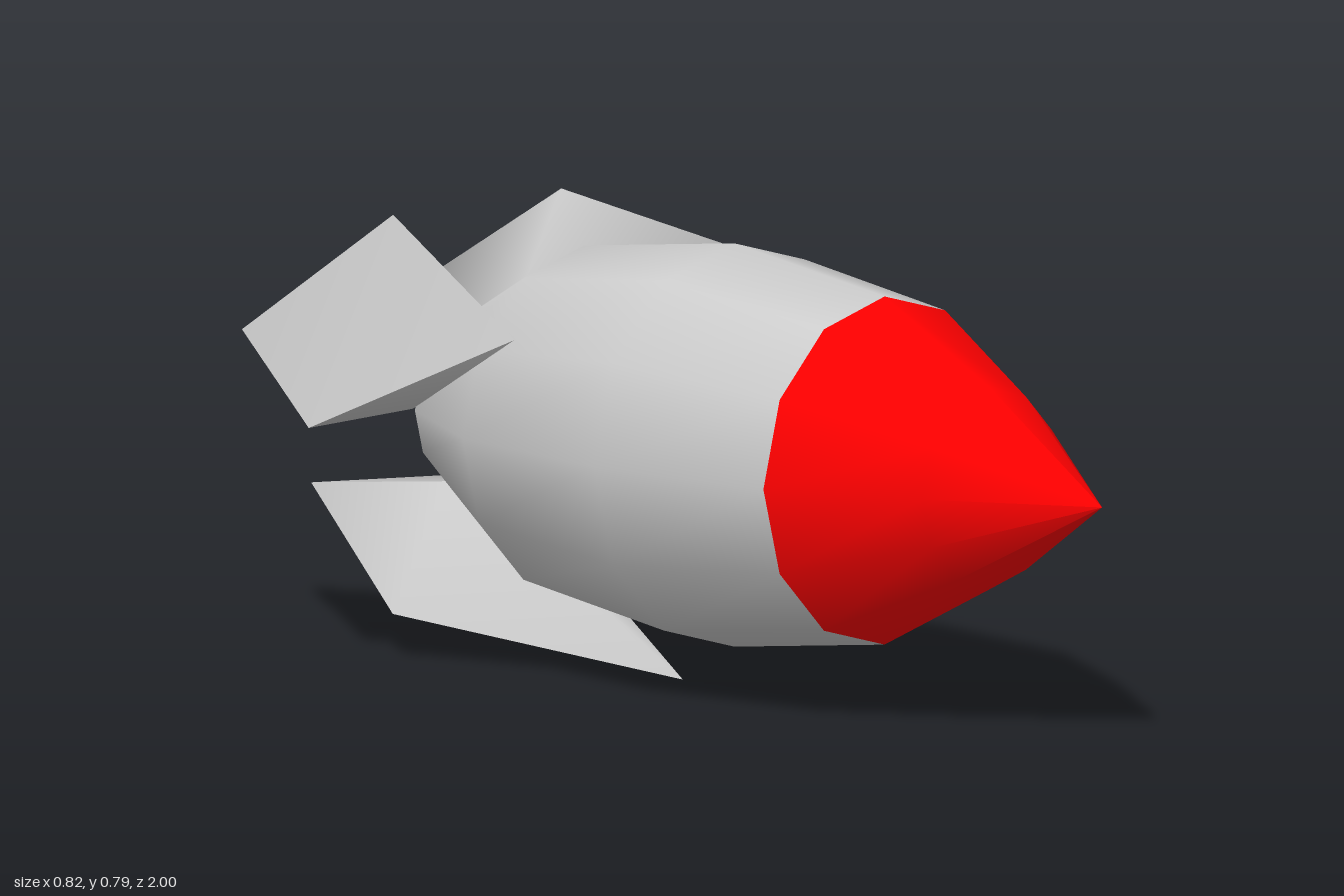
import * as THREE from 'three';

const AXIS_Y = 0.432;

// Twelve-sided shell along z, from [z, radius] pairs running back to front
function hull(name, profile, material) {
  const points = profile.map(([z, r]) => new THREE.Vector2(r, z));
  const geometry = new THREE.LatheGeometry(points, 12);
  geometry.rotateX(Math.PI / 2);
  geometry.scale(0.952, 1, 1);
  const mesh = new THREE.Mesh(geometry, material);
  mesh.name = name;
  return mesh;
}

// Diamond plate flaring out from the tail, drawn for the underside
function fin(name, angle, frontX, frontRadius, material) {
  const outer = [
    [frontX, -frontRadius, -0.06], // front tip
    [0.205, -0.354, -0.58],        // left corner
    [0, -0.194, -1],               // rear tip
    [-0.205, -0.354, -0.58],       // right corner
  ];
  const root = [
    [0, -0.3, -0.31],
    [0.073, -0.134, -0.584],
    [0, -0.152, -0.584],
    [-0.073, -0.134, -0.584],
  ];
  // The outer plate has its own corners so its edge stays sharp
  const positions = [...outer, ...outer, ...root].flat();
  const index = [
    0, 3, 1, 2, 1, 3,              // outer plate
    4, 5, 9, 5, 6, 9,              // left flank
    6, 7, 11, 7, 4, 11,            // right flank
    4, 9, 8, 11, 4, 8,             // front web
    9, 6, 10, 6, 11, 10,           // rear web
  ];
  const geometry = new THREE.BufferGeometry();
  geometry.setAttribute('position', new THREE.Float32BufferAttribute(positions, 3));
  geometry.setIndex(index);
  geometry.computeVertexNormals();
  const mesh = new THREE.Mesh(geometry, material);
  mesh.name = name;
  mesh.rotation.z = angle;
  return mesh;
}

export function createModel() {
  const grey = new THREE.MeshStandardMaterial({ color: 0xcccccc });
  const red = new THREE.MeshStandardMaterial({ color: 0xff0000 });
  const model = new THREE.Group();
  model.name = 'rocket';

  // Body, nose and tail cap
  model.add(
    hull('body', [[-0.585, 0.154], [-0.31, 0.309], [0.07, 0.358], [0.45, 0.309]], grey),
    hull('noseCone', [[0.45, 0.309], [0.72, 0.177], [1, 0]], red),
    hull('tailCap', [[-0.61, 0], [-0.585, 0.154]], grey),
  );

  // Three fins a third of a turn apart
  const third = (Math.PI * 2) / 3;
  model.add(
    fin('bottomFin', 0, 0, 0.432, grey),
    fin('leftFin', third, -0.016, 0.463, grey),
    fin('rightFin', -third, 0.016, 0.463, grey),
  );

  model.children.forEach((part) => { part.position.y = AXIS_Y; });
  return model;
}
